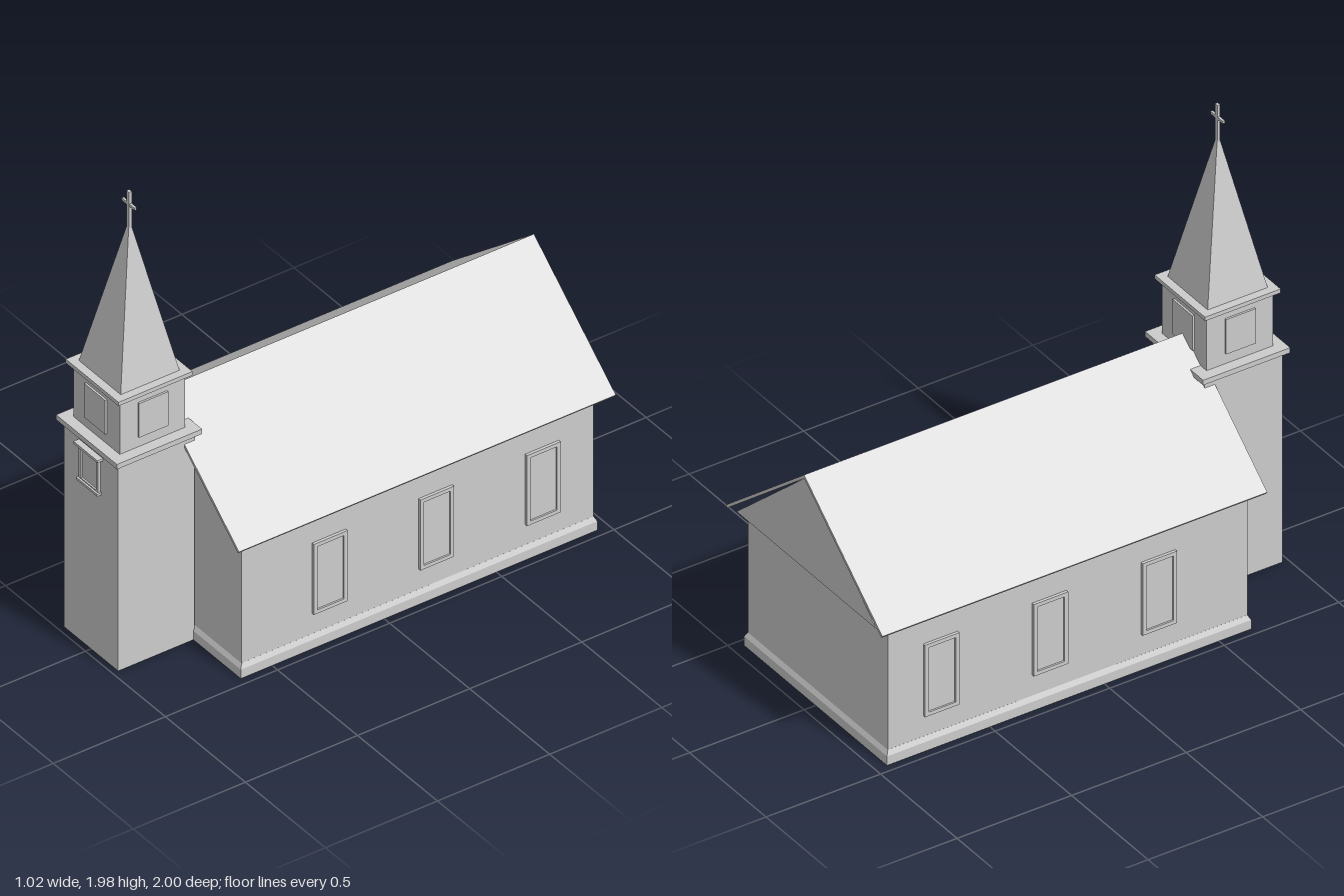
import * as THREE from 'three';

export function createModel() {
  const model = new THREE.Group();
  model.name = 'chapel';
  const grey = new THREE.MeshStandardMaterial({ color: 0xcccccc, flatShading: true });
  grey.name = 'plain grey';

  const add = (name, geometry, parent = model) => {
    const mesh = new THREE.Mesh(geometry, grey);
    mesh.name = name;
    parent.add(mesh);
    return mesh;
  };
  // Box given by its two opposite corners
  const box = (name, [x0, y0, z0], [x1, y1, z1], parent) => {
    const mesh = add(name, new THREE.BoxGeometry(x1 - x0, y1 - y0, z1 - z0), parent);
    mesh.position.set((x0 + x1) / 2, (y0 + y1) / 2, (z0 + z1) / 2);
    return mesh;
  };
  // Outline in x/y extruded along z from z0 to z1
  const prism = (name, points, z0, z1) => {
    const shape = new THREE.Shape(points.map(([x, y]) => new THREE.Vector2(x, y)));
    const geometry = new THREE.ExtrudeGeometry(shape, { depth: z1 - z0, bevelEnabled: false });
    return add(name, geometry.translate(0, 0, z0));
  };
  // Rectangular frame with a pane set in it, facing +z from z = 0
  const framedWindow = (name, w, h, border, depth) => {
    const group = new THREE.Group();
    group.name = name;
    const rect = (target, a, b) => {
      target.moveTo(-a, -b).lineTo(a, -b).lineTo(a, b).lineTo(-a, b).closePath();
      return target;
    };
    const outline = rect(new THREE.Shape(), w / 2, h / 2);
    outline.holes.push(rect(new THREE.Path(), w / 2 - border, h / 2 - border));
    add('windowFrame', new THREE.ExtrudeGeometry(outline, { depth, bevelEnabled: false }), group);
    box('windowPane', [-w / 2 + border, -h / 2 + border, 0],
      [w / 2 - border, h / 2 - border, depth * 0.4], group);
    model.add(group);
    return group;
  };

  // Nave walls, with the rear gable standing slightly proud
  box('naveWalls', [-0.457, 0, -0.94], [0.457, 0.61, 0.63]);
  prism('gable', [[-0.457, 0.608], [0.457, 0.608], [0, 1.015]], -0.99, 0.63);

  // Plinth with a sloping top
  box('plinth', [-0.467, 0, -0.95], [0.467, 0.04, 0.64]);
  const slope = new THREE.BoxGeometry(0.934, 0.02, 1.59);
  const p = slope.attributes.position;
  for (let i = 0; i < p.count; i++) {
    if (p.getY(i) > 0) p.setXYZ(i, p.getX(i) * 0.979, p.getY(i), p.getZ(i) * 0.987);
  }
  add('plinthSlope', slope).position.set(0, 0.05, -0.155);

  // Thin pitched roof
  prism('roof', [[0, 1.03], [-0.512, 0.61], [-0.505, 0.6], [0, 1.014], [0.505, 0.6], [0.512, 0.61]], -1, 0.68);

  // Three windows along each side
  for (const side of [-1, 1]) {
    for (const z of [0.24, -0.235, -0.71]) {
      const win = framedWindow('sideWindow', 0.15, 0.315, 0.016, 0.012);
      win.position.set(side * 0.457, 0.308, z);
      win.rotation.y = side * Math.PI / 2;
    }
  }

  // Tower, stacked from the ground up around one axis
  const tz = 0.805;
  const tier = (name, half, y0, y1) => box(name, [-half, y0, tz - half], [half, y1, tz + half]);
  tier('towerBody', 0.17, 0, 0.925);
  tier('towerLedge', 0.19, 0.922, 0.944);
  tier('belfry', 0.145, 0.944, 1.182);
  tier('belfryCornice', 0.165, 1.18, 1.197);

  // Plain raised panel on every face of the belfry
  for (let i = 0; i < 4; i++) {
    const panel = add('belfryPanel', new THREE.BoxGeometry(0.13, 0.152, 0.009));
    const a = i * Math.PI / 2;
    panel.position.set(Math.sin(a) * 0.149, 1.066, tz + Math.cos(a) * 0.149);
    panel.rotation.y = a;
  }

  // Four-sided spire
  const spire = add('spire', new THREE.CylinderGeometry(0.006, 0.131 * Math.SQRT2, 0.635, 4, 1, false, Math.PI / 4));
  spire.position.set(0, 1.514, tz);

  // Cross
  box('crossPost', [-0.008, 1.81, tz - 0.006], [0.008, 1.977, tz + 0.006]);
  box('crossArm', [-0.04, 1.914, tz - 0.005], [0.04, 1.925, tz + 0.005]);

  // Tower window with its head moulding and sill
  framedWindow('towerWindow', 0.12, 0.155, 0.013, 0.012).position.set(0, 0.807, 0.975);
  box('windowHead', [-0.075, 0.884, 0.97], [0.075, 0.895, 1]);
  box('windowSill', [-0.067, 0.728, 0.97], [0.067, 0.738, 0.995]);

  return model;
}
